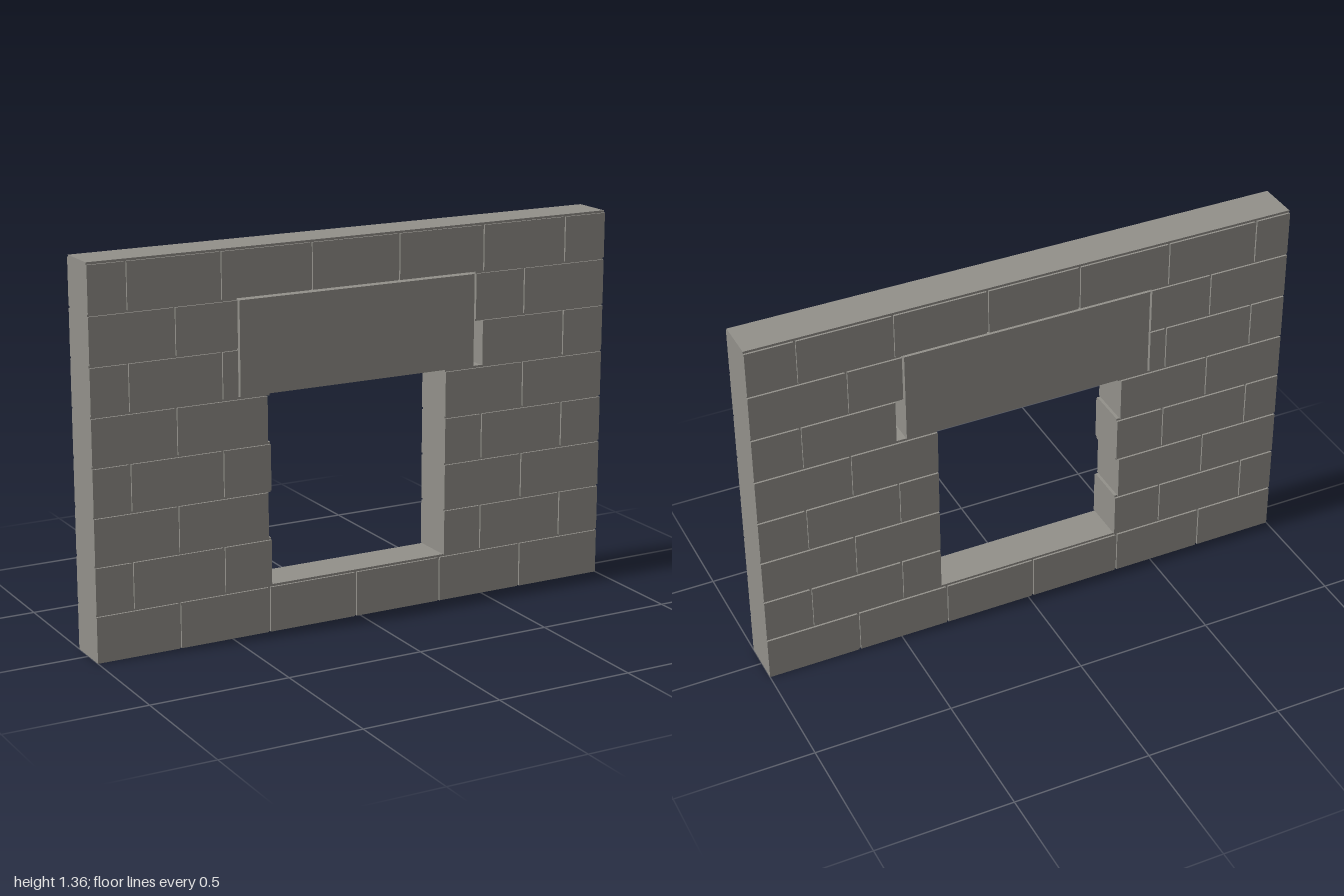
import * as THREE from 'three';

const H = 0.17, JOINT = 0.008, BLOCK_H = H - JOINT, PITCH = 0.339;
const HALF = 0.081, RECESS = 0.074, SHELL = 0.027;
const concrete = new THREE.MeshStandardMaterial({ color: 0x92908a });
concrete.name = 'concrete grey';

function rect(Type, x0, x1, z) {
  const p = new Type();
  p.moveTo(x0, -z);
  p.lineTo(x1, -z);
  p.lineTo(x1, z);
  p.lineTo(x0, z);
  p.closePath();
  return p;
}

// Solid box between two x and two y values
function slab(name, x0, x1, y0, y1, halfDepth) {
  const mesh = new THREE.Mesh(new THREE.BoxGeometry(x1 - x0, y1 - y0, halfDepth * 2), concrete);
  mesh.position.set((x0 + x1) / 2, (y0 + y1) / 2, 0);
  mesh.name = name;
  return mesh;
}

// Concrete block with two open cells (short cut pieces are solid)
function block(x0, x1, y) {
  const len = x1 - x0;
  if (len < 0.2) return slab('cutBlock', x0, x1, y, y + BLOCK_H, HALF);
  const shape = rect(THREE.Shape, x0, x1, HALF);
  const cell = (len - 3 * SHELL) / 2;
  for (let i = 0; i < 2; i++) {
    const c = x0 + SHELL + i * (cell + SHELL);
    shape.holes.push(rect(THREE.Path, c, c + cell, HALF - SHELL));
  }
  const geo = new THREE.ExtrudeGeometry(shape, { depth: BLOCK_H, bevelEnabled: false });
  geo.rotateX(-Math.PI / 2);
  const mesh = new THREE.Mesh(geo, concrete);
  mesh.position.y = y;
  mesh.name = 'hollowBlock';
  return mesh;
}

// Solid stretches of a course as [start, end] pairs
function spans(row) {
  if (row === 0 || row === 7) return [[-1, 1]];
  if (row === 5) return [[-1, -0.467], [0.492, 1]];
  if (row === 6) return [[-1, -0.467], [0.463, 1]];
  return [[-1, row % 2 ? -0.347 : -0.358], [0.342, 1]];
}

// Mortar bed on top of a course
function bedSpans(row) {
  if (row === 0 || row === 7) return [[-1, 1]];
  if (row >= 5) return [[-1, -0.467], [0.463, 1]];
  return [[-1, -0.347], [0.342, 1]];
}

export function createModel() {
  const wall = new THREE.Group();
  wall.name = 'blockWall';

  for (let row = 0; row < 8; row++) {
    const course = new THREE.Group();
    course.name = 'course' + (row + 1);
    const y = row * H;
    const first = row % 2 ? -0.866 : -0.696;

    // Blocks in running bond, with recessed upright joints between them
    for (const [a, b] of spans(row)) {
      let start = a;
      for (let i = 0; i < 6; i++) {
        const j = first + i * PITCH;
        if (j < a + 0.02 || j > b - 0.02) continue;
        course.add(block(start, j - JOINT / 2, y));
        course.add(slab('uprightJoint', j - JOINT / 2, j + JOINT / 2, y, y + BLOCK_H, RECESS));
        start = j + JOINT / 2;
      }
      course.add(block(start, b, y));
    }

    for (const [a, b] of bedSpans(row)) {
      course.add(slab('mortarBed', a, b, y + BLOCK_H, y + H, RECESS));
    }
    wall.add(course);
  }

  // Lintel over the window opening
  wall.add(slab('lintel', -0.459, 0.455, 0.851, 1.182, HALF));
  return wall;
}
